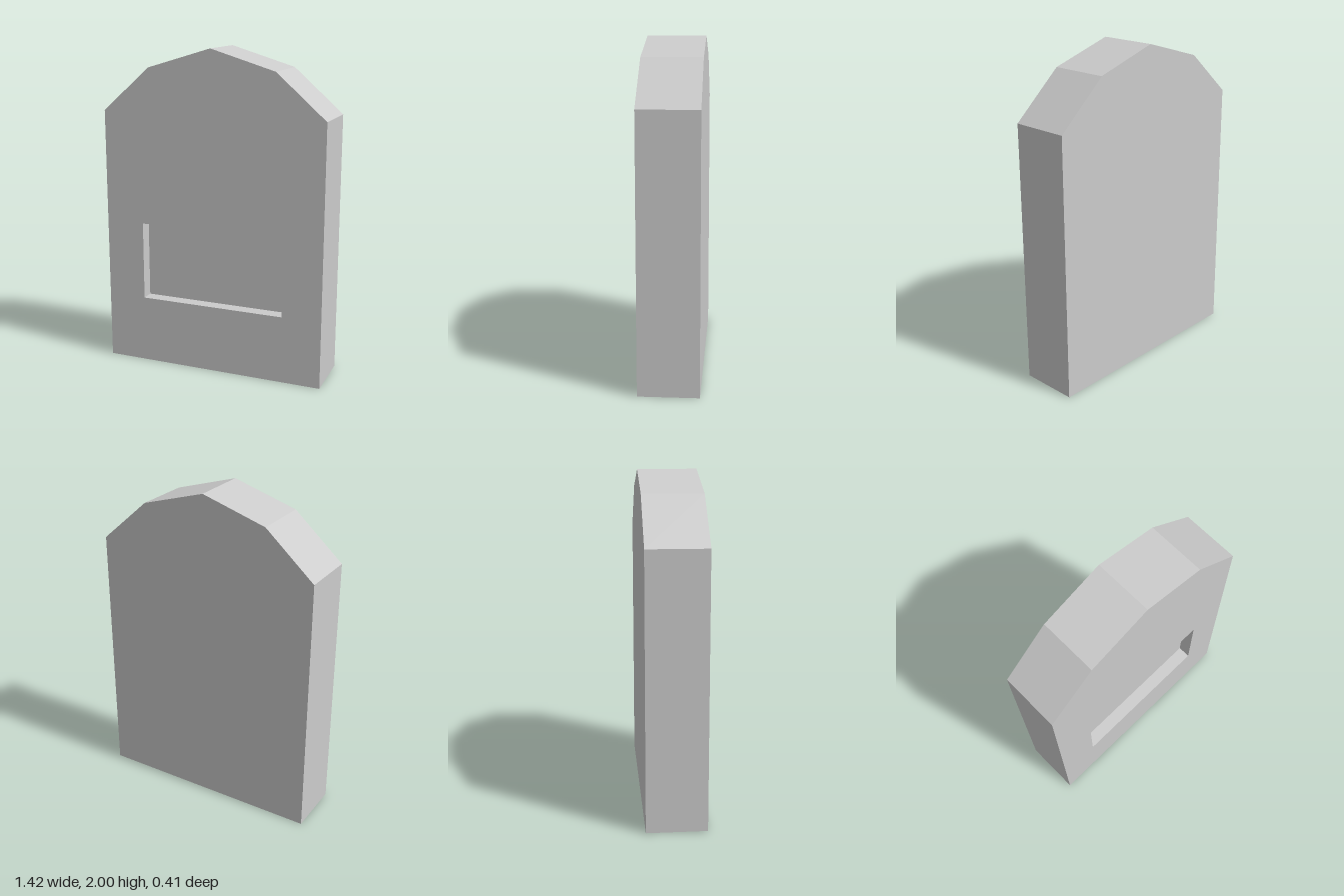
import * as THREE from 'three';

const W = 0.705, D = 0.355, TURN = 0.0405;
const PANEL = { w: 0.92, h: 0.49, y: 0.667, depth: 0.08 };

// Remove the triangles that face +z, leaving the solid open at the front
function dropFront(geometry) {
  const src = geometry.index ? geometry.toNonIndexed() : geometry;
  const p = src.attributes.position, n = src.attributes.normal;
  const kept = [];
  for (let i = 0; i < p.count; i += 3) {
    if (n.getZ(i) > 0.5) continue;
    for (let k = i; k < i + 3; k++) kept.push(p.getX(k), p.getY(k), p.getZ(k));
  }
  const out = new THREE.BufferGeometry();
  out.setAttribute('position', new THREE.Float32BufferAttribute(kept, 3));
  out.computeVertexNormals();
  return out;
}

export function createModel() {
  const group = new THREE.Group();
  group.name = 'headstone';
  const stone = new THREE.MeshStandardMaterial({ color: 0xcccccc, flatShading: true });
  const add = (name, geometry) => {
    const mesh = new THREE.Mesh(geometry, stone);
    mesh.name = name;
    group.add(mesh);
  };

  // Slab outline: straight sides under a four-facet arch
  const outline = () => new THREE.Shape(
    [[-W, 0], [W, 0], [W, 1.612], [0.4, 1.88], [0, 2], [-0.4, 1.88], [-W, 1.612]]
      .map(([x, y]) => new THREE.Vector2(x, y)));

  // Back, sides, top and underside
  const slab = new THREE.ExtrudeGeometry(outline(), { depth: D, bevelEnabled: false });
  add('slab', dropFront(slab.translate(0, 0, -D / 2)));

  // Front face with the panel opening
  const x = PANEL.w / 2, y0 = PANEL.y - PANEL.h / 2, y1 = PANEL.y + PANEL.h / 2;
  const face = outline();
  face.holes.push(new THREE.Path(
    [[-x, y0], [-x, y1], [x, y1], [x, y0]].map(([a, b]) => new THREE.Vector2(a, b))));
  add('frontFace', new THREE.ShapeGeometry(face).translate(0, 0, D / 2));

  // Recessed panel: an open box mirrored so that its faces look inward
  const recess = dropFront(new THREE.BoxGeometry(PANEL.w, PANEL.h, PANEL.depth));
  recess.scale(-1, 1, 1).translate(0, PANEL.y, D / 2 - PANEL.depth / 2);
  recess.computeVertexNormals();
  add('recessedPanel', recess);

  // The stone stands slightly askew
  group.rotation.y = TURN;
  return group;
}
